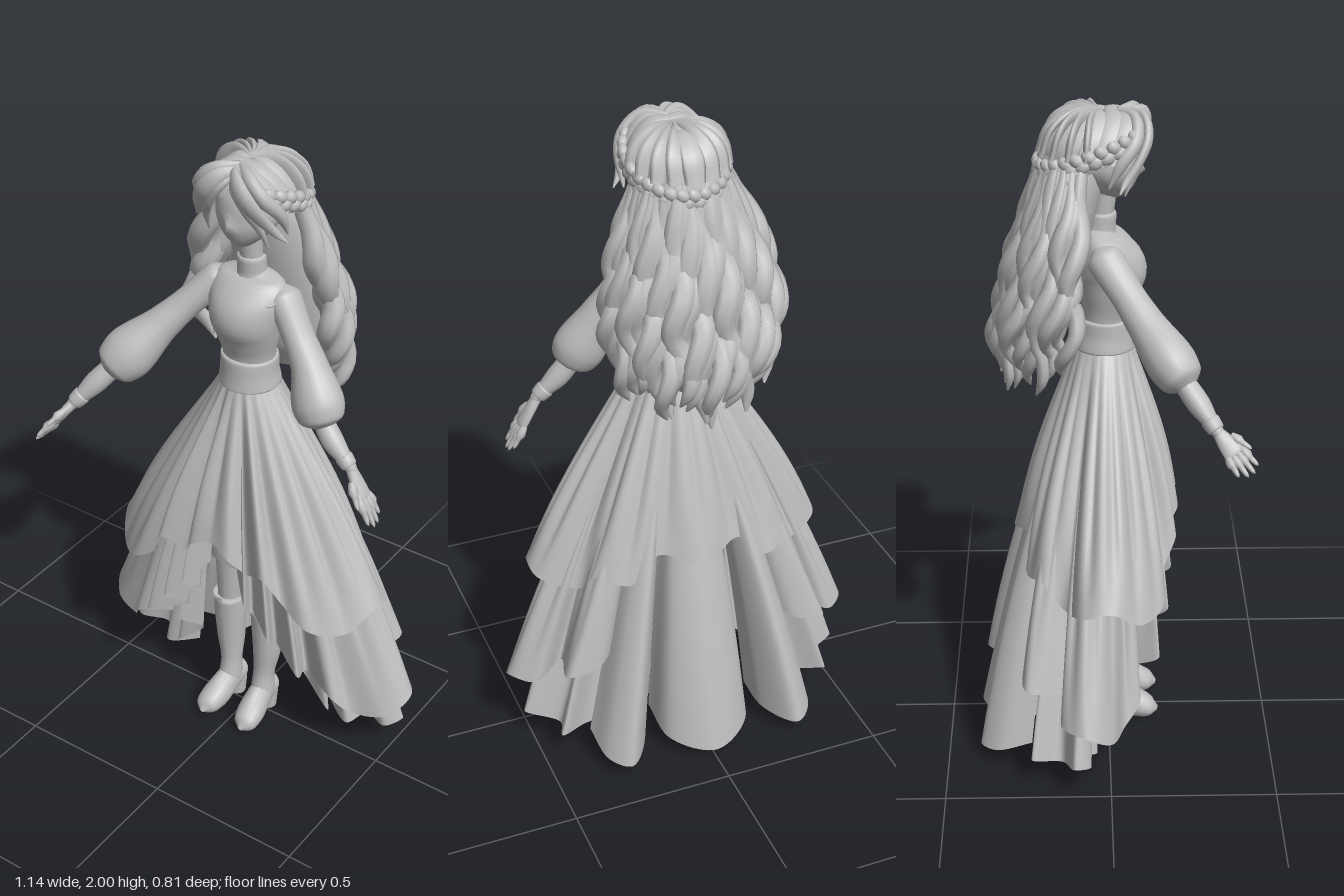
import * as THREE from 'three';
import { mergeVertices } from 'three/addons/utils/BufferGeometryUtils.js';

const V = (x, y, z) => new THREE.Vector3(x, y, z);
const clay = new THREE.MeshStandardMaterial({ color: 0xbdbdbd, side: THREE.DoubleSide });
clay.name = 'clay grey';

// Smooth surface from a rule f(u, v) -> point
function grid(nu, nv, f) {
  const pos = [], idx = [];
  for (let i = 0; i <= nu; i++) for (let j = 0; j <= nv; j++) pos.push(...f(i / nu, j / nv).toArray());
  for (let i = 0; i < nu; i++) for (let j = 0; j < nv; j++) {
    const a = i * (nv + 1) + j, c = a + nv + 1;
    idx.push(a, c, a + 1, a + 1, c, c + 1);
  }
  let g = new THREE.BufferGeometry();
  g.setAttribute('position', new THREE.Float32BufferAttribute(pos, 3));
  g.setIndex(idx);
  g = mergeVertices(g, 1e-5);
  g.computeVertexNormals();
  return g;
}

// Oval tube through stations [x, y, z, side radius, depth radius]
function sweep(st, nu = 20, nv = 14, ref = V(0, 0, 1)) {
  const path = new THREE.CatmullRomCurve3(st.map(p => V(p[0], p[1], p[2])));
  const rad = new THREE.CatmullRomCurve3(st.map(p => V(p[3], p[4] ?? p[3], 0)));
  return grid(nu, nv, (u, v) => {
    const t = path.getTangent(u), r = rad.getPoint(u), a = (v % 1) * Math.PI * 2;
    const s = t.clone().cross(ref).normalize(), b = s.clone().cross(t);
    return path.getPoint(u).addScaledVector(s, Math.cos(a) * Math.max(r.x, 0.001))
      .addScaledVector(b, Math.sin(a) * Math.max(r.y, 0.001));
  });
}

// Cloth hanging from the waist to a hem curve, from fraction t0 to the hem
function cloth(hem, t0, pleats, amp, closed = false) {
  const curve = new THREE.CatmullRomCurve3(hem.map(p => V(...p)), closed, 'centripetal');
  return grid(hem.length * 8, 14, (u, v) => {
    const h = curve.getPoint(u), t = t0 + (1 - t0) * v;
    const a = Math.atan2(h.x / 0.45, (h.z + 0.03) / 0.25);
    const p = V(0.085 * Math.sin(a), 1.29, -0.012 + 0.082 * Math.cos(a)).lerp(h, t);
    const bow = Math.sin(Math.PI * t), fold = amp * bow * (2 * Math.abs(Math.sin(pleats * a / 2)) - 1);
    p.x *= 1 + fold + 0.035 * bow;
    p.z *= 1 + fold + 0.06 * bow;
    return p;
  });
}
const flip = pts => pts.map(([x, ...r]) => [-x, ...r]);
const bothSides = pts => [...pts, ...flip(pts.slice(1, -1)).reverse()];

export function createModel() {
  const root = new THREE.Group();
  const add = (name, geo, parent = root) => {
    const m = new THREE.Mesh(geo, clay);
    m.name = name;
    parent.add(m);
    return m;
  };
  const group = name => { const g = new THREE.Group(); g.name = name; root.add(g); return g; };

  // Head: sphere narrowed towards the chin, with a nose ridge
  const head = new THREE.SphereGeometry(1, 28, 22), hp = head.attributes.position;
  for (let i = 0; i < hp.count; i++) {
    const x = hp.getX(i), y = hp.getY(i), z = hp.getZ(i), low = Math.max(0, -y);
    const nose = z > 0.7 ? 0.02 * Math.exp(-(x * x) / 0.01 - (y + 0.25) ** 2 / 0.02) : 0;
    hp.setXYZ(i, x * 0.098 * (1 - 0.5 * low * low), 1.845 + y * 0.118, -0.015 + z * 0.1 * (z < 0 ? 1 - 0.4 * low : 1) + low * 0.02 + nose);
  }
  head.computeVertexNormals();
  add('head', head);
  add('neck', sweep([[0, 1.58, -0.03, 0.045], [0, 1.66, -0.02, 0.034], [0, 1.76, -0.01, 0.036]], 8));
  add('collar', sweep([[0, 1.61, -0.025, 0.06], [0, 1.64, -0.022, 0.044], [0, 1.685, -0.018, 0.043], [0, 1.69, -0.018, 0.03]], 10));

  // Bodice and belt
  add('bodice', sweep([[0, 1.27, -0.012, 0.08, 0.075], [0, 1.37, -0.008, 0.082, 0.07], [0, 1.45, 0.0, 0.1, 0.088],
    [0, 1.51, 0.005, 0.112, 0.108], [0, 1.57, -0.01, 0.125, 0.086], [0, 1.62, -0.025, 0.105, 0.055], [0, 1.645, -0.025, 0.035, 0.03]], 24, 24));
  add('belt', sweep([[0, 1.27, -0.012, 0.08], [0, 1.275, -0.012, 0.095, 0.092], [0, 1.32, -0.01, 0.088, 0.085],
    [0, 1.365, -0.01, 0.088, 0.082], [0, 1.37, -0.01, 0.08, 0.07]], 14, 24));
  // Capelet edge running from the throat to the shoulder
  for (const s of [-1, 1]) add('neckTrim', sweep([[s * 0.01, 1.62, 0.036, 0.005], [s * 0.05, 1.595, 0.054, 0.005],
    [s * 0.1, 1.575, 0.04, 0.005], [s * 0.13, 1.6, 0, 0.005]], 14, 6));

  // Arms: sleeve, forearm and hand, given shoulder-to-fingertip positions
  function arm(name, sh, mid, cuff, wrist, tip) {
    const g = group(name), at = (a, b, t) => a.clone().lerp(b, t).toArray();
    add('sleeve', sweep([[...sh.toArray(), 0.02], [...at(sh, mid, 0.15), 0.047, 0.054], [...at(sh, mid, 0.6), 0.045, 0.049], [...mid.toArray(), 0.054, 0.055],
      [...at(mid, cuff, 0.6), 0.08, 0.072], [...at(mid, cuff, 0.88), 0.068, 0.062], [...cuff.toArray(), 0.03]], 28, 18), g);
    add('forearm', sweep([[...at(mid, cuff, 0.8), 0.03], [...at(cuff, wrist, 0.3), 0.034], [...at(cuff, wrist, 0.8), 0.023], [...wrist.toArray(), 0.019], [...at(wrist, tip, 0.1), 0.015]], 14, 12), g);
    add('wristCuff', sweep([[...at(cuff, wrist, 0.72), 0.02], [...at(cuff, wrist, 0.76), 0.028], [...at(cuff, wrist, 0.98), 0.024], [...wrist.toArray(), 0.015]], 8, 12), g);
    add('palm', sweep([[...wrist.toArray(), 0.016], [...at(wrist, tip, 0.25), 0.015, 0.026], [...at(wrist, tip, 0.5), 0.013, 0.031], [...at(wrist, tip, 0.58), 0.004, 0.02]], 10, 12), g);
    const d = tip.clone().sub(wrist).normalize();
    const side = V(0, 0, 1).addScaledVector(d, -d.z).normalize();
    for (let i = 0; i < 5; i++) {
      const thumb = i === 4, o = thumb ? 0.024 : (i - 1.5) * 0.015;
      const from = wrist.clone().lerp(tip, thumb ? 0.2 : 0.48).addScaledVector(side, o);
      const to = wrist.clone().lerp(tip, thumb ? 0.62 : [0.88, 0.98, 1, 0.92][i]).addScaledVector(side, thumb ? 0.046 : o * 1.4);
      add(thumb ? 'thumb' : 'finger', sweep([[...from.toArray(), 0.009], [...at(from, to, 0.5), 0.009], [...at(from, to, 0.9), 0.006], [...to.toArray(), 0.001]], 8, 8), g);
    }
  }
  arm('leftArm', V(0.09, 1.605, -0.03), V(0.22, 1.405, 0.01), V(0.295, 1.245, 0.045), V(0.395, 1.15, 0.055), V(0.495, 0.985, 0.06));
  arm('rightArm', V(-0.09, 1.605, -0.03), V(-0.235, 1.433, 0.102), V(-0.35, 1.29, 0.215), V(-0.425, 1.19, 0.295), V(-0.495, 1.085, 0.39));

  // Skirt: ruffled tiers, each falling to its own scalloped hem
  const upper = [[0, 0.79, 0.2], [0.07, 0.76, 0.21], [0.11, 0.7, 0.17], [0.19, 0.73, 0.2], [0.24, 0.63, 0.16], [0.33, 0.57, 0.16],
    [0.42, 0.555, 0.09], [0.47, 0.62, 0], [0.46, 0.6, -0.08], [0.35, 0.57, -0.14], [0.32, 0.64, -0.2], [0.22, 0.62, -0.25], [0.13, 0.7, -0.24], [0, 0.67, -0.29]];
  const skirt = group('skirt');
  add('upperTier', cloth(bothSides(upper), 0, 22, 0.045, true), skirt);
  const middle = [[0.05, 0.65, 0.13], [0.12, 0.58, 0.19], [0.1, 0.52, 0.12], [0.2, 0.48, 0.18], [0.17, 0.4, 0.09], [0.29, 0.36, 0.15],
    [0.26, 0.3, 0.05], [0.38, 0.27, 0.09], [0.43, 0.2, 0.04], [0.53, 0.21, 0], [0.57, 0.26, -0.08], [0.5, 0.26, -0.15],
    [0.41, 0.3, -0.12], [0.43, 0.33, -0.25], [0.33, 0.35, -0.26], [0.25, 0.4, -0.2]];
  const lower = [[0.2, 0.36, 0], [0.24, 0.28, 0.05], [0.2, 0.2, -0.03], [0.3, 0.1, -0.02], [0.26, 0.08, -0.09], [0.36, 0.06, -0.04],
    [0.4, 0.08, -0.1], [0.49, 0.1, -0.06], [0.53, 0.12, -0.11], [0.43, 0.08, -0.15], [0.45, 0.1, -0.24], [0.36, 0.09, -0.2], [0.27, 0.1, -0.2]];
  const panel = [[0.18, 0.09, -0.2], [0.2, 0.06, -0.3], [0.28, 0.05, -0.4], [0.34, 0.06, -0.35], [0.36, 0.1, -0.24]];
  for (const side of [p => p, flip]) {
    add('middleTier', cloth(side(middle), 0.35, 30, 0.03), skirt);
    add('lowerTier', cloth(side(lower), 0.4, 30, 0.03), skirt);
    add('sideTrain', cloth(side(panel), 0.3, 8, 0.02), skirt);
  }
  add('backTrain', cloth([[-0.15, 0.1, -0.2], [-0.13, 0.06, -0.33], [0, 0.03, -0.405], [0.13, 0.06, -0.33], [0.15, 0.1, -0.2]], 0.25, 8, 0.02), skirt);
  add('underskirt', sweep([[0, 1.1, -0.02, 0.07], [0, 0.9, -0.02, 0.12, 0.1], [0, 0.64, -0.01, 0.135, 0.12], [0, 0.635, -0.01, 0.1, 0.09]], 12, 24), skirt);

  // Legs and heeled boots
  for (const s of [-1, 1]) {
    const g = group(s > 0 ? 'leftLeg' : 'rightLeg');
    add('leg', sweep([[s * 0.06, 0.95, -0.01, 0.055], [s * 0.064, 0.6, 0, 0.05], [s * 0.07, 0.4, 0, 0.038]], 10), g);
    add('bootShaft', sweep([[s * 0.072, 0.43, 0, 0.036], [s * 0.072, 0.435, 0, 0.053], [s * 0.072, 0.35, -0.005, 0.051, 0.052], [s * 0.07, 0.26, -0.008, 0.045, 0.05],
      [s * 0.064, 0.16, 0, 0.034, 0.038], [s * 0.064, 0.09, 0.005, 0.037, 0.048], [s * 0.064, 0.05, 0.005, 0.03]], 22), g);
    add('foot', sweep([[s * 0.062, 0.08, -0.058, 0.01], [s * 0.062, 0.085, -0.042, 0.035, 0.04], [s * 0.064, 0.08, 0.015, 0.037, 0.054],
      [s * 0.07, 0.054, 0.075, 0.044, 0.05], [s * 0.076, 0.036, 0.13, 0.038, 0.033], [s * 0.076, 0.03, 0.155, 0.008]], 18, 14, V(0, 1, 0)), g);
    add('heel', new THREE.CylinderGeometry(0.033, 0.028, 0.06, 12), g).position.set(s * 0.062, 0.03, -0.028);
  }

  // Hair: cap with locks combed sideways in front and backwards behind
  const hair = group('hair');
  const cap = add('hairCap', new THREE.SphereGeometry(1, 28, 18, 0, Math.PI * 2, 0, Math.PI * 0.58).rotateX(-0.5), hair);
  cap.scale.set(0.13, 0.115, 0.145);
  cap.position.set(0, 1.872, -0.05);
  for (let i = 0; i < 9; i++) {
    const a = (i / 8 - 0.5) * 3, sx = Math.sin(a), cz = -Math.cos(a);
    add('backLock', sweep([[0, 1.978, -0.02, 0.012, 0.006], [sx * 0.065, 1.972, -0.045 + cz * 0.075, 0.03, 0.01],
      [sx * 0.11, 1.935, -0.05 + cz * 0.122, 0.036, 0.011], [sx * 0.13, 1.87, -0.055 + cz * 0.142, 0.03, 0.01]], 14, 8), hair);
  }
  for (const s of [-1, 1]) {
    for (const z of [0.055, 0.015, -0.03]) add('sideLock', sweep([[-s * 0.01, 1.982, z - 0.01, 0.01, 0.02], [s * 0.05, 1.975, z, 0.012, 0.032],
      [s * 0.1, 1.93, z - 0.015, 0.014, 0.034], [s * 0.13, 1.865, z - 0.045, 0.012, 0.022]], 14, 10), hair);
    // Face-framing bangs falling from a centre parting
    for (const lock of [
      [[-0.005, 1.98, 0.055, 0.014, 0.012], [0.03, 1.97, 0.1, 0.024, 0.014], [0.07, 1.925, 0.11, 0.028, 0.015], [0.105, 1.868, 0.085, 0.022, 0.013], [0.13, 1.82, 0.05, 0.012], [0.155, 1.79, 0.03, 0.002]],
      [[0, 1.97, 0.065, 0.01], [0.025, 1.948, 0.1, 0.018, 0.012], [0.065, 1.89, 0.098, 0.02, 0.012], [0.088, 1.835, 0.075, 0.014, 0.01], [0.1, 1.765, 0.045, 0.002]],
      [[0, 1.982, 0.03, 0.014], [0.055, 1.972, 0.075, 0.024, 0.018], [0.105, 1.925, 0.075, 0.024, 0.02], [0.132, 1.87, 0.035, 0.018], [0.135, 1.8, 0, 0.003]]])
      add('bang', sweep(lock.map(([x, ...r]) => [s * x, ...r]), 18, 10), hair);
  }
  // Braided crown: two rows of overlapping beads on a tilted ring
  for (let i = 0; i < 44; i++) {
    const a = 0.75 + (i / 43) * (Math.PI * 2 - 1.5), up = i % 2 ? 1 : -1;
    const z = -0.045 + 0.158 * Math.cos(a);
    const b = add('braidPlait', new THREE.SphereGeometry(1, 8, 6), hair);
    b.scale.set(0.016, 0.019, 0.024);
    b.position.set(0.143 * Math.sin(a), 1.885 + 0.36 * (z + 0.045) + up * 0.011, z);
    b.rotation.set(up * 0.6, a + Math.PI / 2, 0, 'YXZ');
  }
  // Body of the hair, then long wavy curls fanned around it in two layers
  add('hairBody', sweep([[0, 1.9, -0.08, 0.08], [0, 1.8, -0.1, 0.12, 0.09], [0, 1.65, -0.135, 0.14, 0.09], [-0.01, 1.48, -0.18, 0.16, 0.09], [-0.01, 1.34, -0.21, 0.15, 0.09], [0, 1.24, -0.21, 0.06, 0.04]], 18, 18), hair);
  for (let layer = 0; layer < 2; layer++) for (let i = 0; i < 15; i++) {
    const s = (i + layer * 0.5) / 7.25 - 1, th = s * 1.5, sx = Math.sin(th), c = Math.cos(th);
    const k = layer ? 0.84 : 1, wide = s < 0 ? 1.35 : 1;
    const end = 1.19 + 0.08 * Math.abs(s) + 0.04 * Math.sin(i * 2.3 + layer);
    const pts = [];
    for (let j = 0; j <= 12; j++) {
      const t = j / 12, grow = Math.min(1, t * 1.8), phase = t * 15 + i * 1.9 + layer * 2;
      const w = 0.022 * grow * Math.sin(phase), out = 0.016 * grow * Math.cos(phase);
      const curlIn = 1.5 * Math.max(0, t - 0.8);
      const rx = 0.118 + 0.115 * wide * k * (Math.sin(Math.min(1, t * 1.25) * Math.PI / 2) - curlIn) + out;
      const rz = 0.115 + 0.125 * k * (Math.min(1, t * 1.15) - curlIn) + out;
      const r = j === 12 ? 0.004 : 0.023 + 0.016 * Math.sin(Math.PI * Math.min(1, t * 1.1));
      pts.push([sx * rx + w * c, 1.87 + (end - 1.87) * t, -0.065 - 0.045 * t - c * rz + w * sx, r, r * 0.75]);
    }
    add('curl', sweep(pts, 32, 8), hair);
  }
  return root;
}
